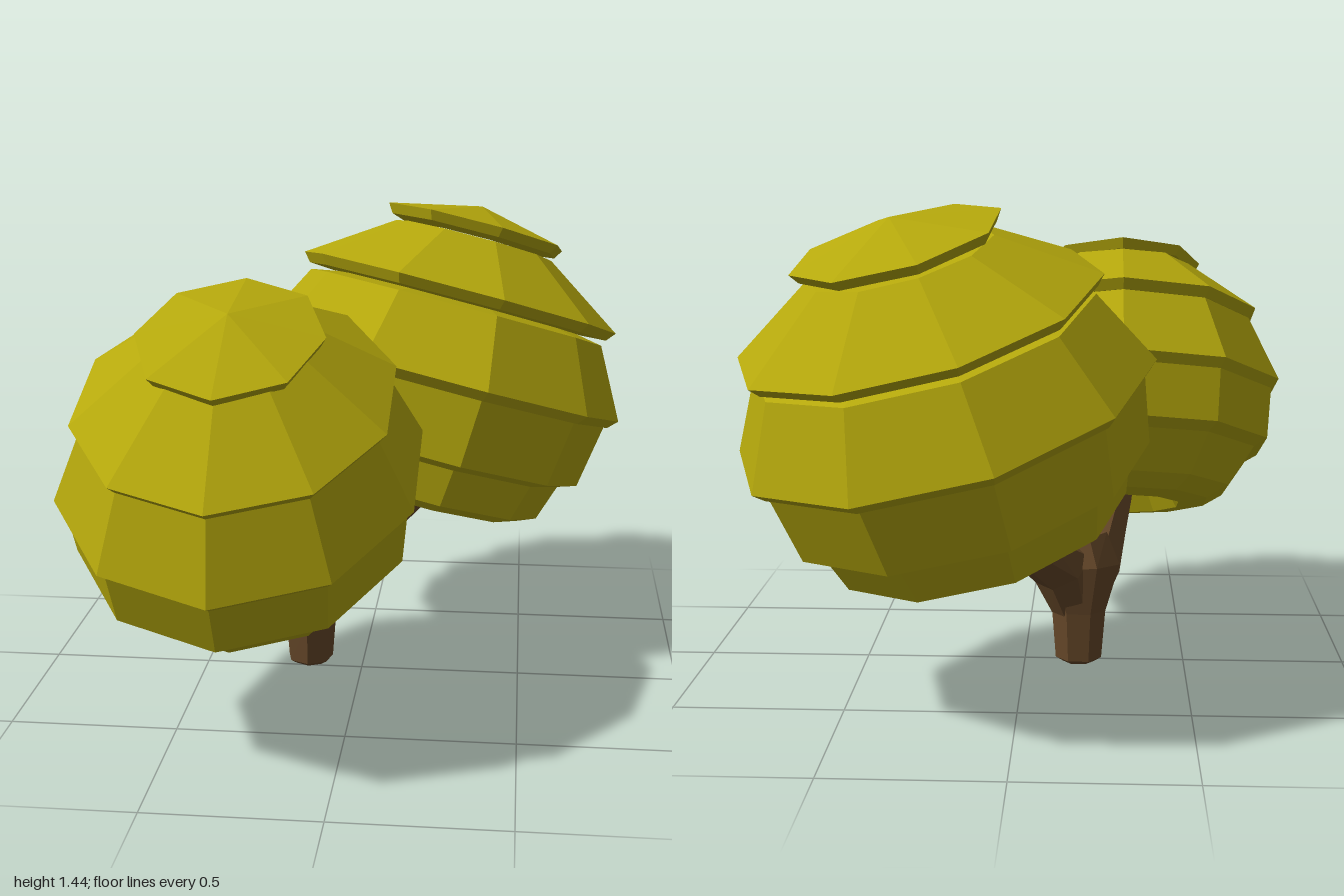
import * as THREE from 'three';

const leafMaterial = new THREE.MeshStandardMaterial({ color: 0xb5a80c, flatShading: true });
const barkMaterial = new THREE.MeshStandardMaterial({ color: 0x664829, flatShading: true });
const UP = new THREE.Vector3(0, 1, 0);

// Overlapping foliage tiers: [radius, height above the tier's lip], from the bottom up
const tiers = [
  { name: 'lowerTier', sides: 10, profile: [[0.5, -0.03], [0.585, -0.03], [0.615, 0], [0.495, 0.225], [0.3, 0.26]] },
  { name: 'upperTier', sides: 10, profile: [[0.42, -0.035], [0.505, -0.03], [0.53, 0], [0.265, 0.175], [0, 0.18]] },
  { name: 'topCap', sides: 8, profile: [[0.2, -0.04], [0.285, -0.03], [0.305, 0], [0, 0.07]] },
];

function createTier(name, profile, lip, sides, phase) {
  const points = profile.map(([r, h]) => new THREE.Vector2(r, h + lip));
  const mesh = new THREE.Mesh(new THREE.LatheGeometry(points, sides, phase), leafMaterial);
  mesh.name = name;
  return mesh;
}

function createCanopy({ name, position, axis, scaleX, phase, lips, base }) {
  const canopy = new THREE.Group();
  canopy.name = name;
  canopy.add(createTier('foliageBase', base, 0, 10, phase));
  tiers.forEach((tier, i) => canopy.add(createTier(tier.name, tier.profile, lips[i], tier.sides, phase)));
  canopy.position.set(...position);
  canopy.quaternion.setFromUnitVectors(UP, new THREE.Vector3(...axis).normalize());
  canopy.scale.x = scaleX;
  return canopy;
}

// Tapered limb through stations [x, y, z, radius]
function createLimb(name, stations, sides = 7) {
  const centers = stations.map(([x, y, z]) => new THREE.Vector3(x, y, z));
  const positions = [];
  const index = [];
  stations.forEach(([, , , radius], i) => {
    const before = centers[Math.max(i - 1, 0)];
    const after = centers[Math.min(i + 1, centers.length - 1)];
    const tangent = after.clone().sub(before).normalize();
    const turn = new THREE.Quaternion().setFromUnitVectors(UP, tangent);
    for (let j = 0; j < sides; j++) {
      const angle = (j / sides) * Math.PI * 2;
      const p = new THREE.Vector3(Math.sin(angle) * radius, 0, Math.cos(angle) * radius);
      positions.push(...p.applyQuaternion(turn).add(centers[i]).toArray());
      if (i === 0) continue;
      const a = (i - 1) * sides + j;
      const b = (i - 1) * sides + ((j + 1) % sides);
      index.push(a, b, b + sides, a, b + sides, a + sides);
    }
  });
  const geometry = new THREE.BufferGeometry();
  geometry.setAttribute('position', new THREE.Float32BufferAttribute(positions, 3));
  geometry.setIndex(index);
  geometry.computeVertexNormals();
  const mesh = new THREE.Mesh(geometry, barkMaterial);
  mesh.name = name;
  return mesh;
}

export function createModel() {
  const tree = new THREE.Group();
  tree.name = 'tree';

  // Trunk with a wide fork
  tree.add(createLimb('trunk', [
    [-0.17, 0, -0.03, 0], [-0.17, 0.005, -0.03, 0.05], [-0.17, 0.02, -0.03, 0.073],
    [-0.17, 0.17, -0.03, 0.085], [-0.17, 0.31, -0.01, 0.13], [-0.16, 0.4, 0, 0.1], [-0.15, 0.425, 0, 0],
  ]));
  tree.add(createLimb('frontBranch', [
    [-0.17, 0.17, -0.02, 0.07], [-0.19, 0.29, 0.04, 0.11], [-0.23, 0.385, 0.16, 0.09],
    [-0.27, 0.46, 0.3, 0.07], [-0.3, 0.56, 0.42, 0.055], [-0.3, 0.62, 0.45, 0],
  ]));
  tree.add(createLimb('backBranch', [
    [-0.16, 0.17, -0.03, 0.07], [-0.12, 0.32, -0.06, 0.1], [-0.02, 0.41, -0.16, 0.075],
    [0.06, 0.43, -0.28, 0.06], [0.11, 0.455, -0.37, 0.06], [0.13, 0.55, -0.41, 0.05], [0.14, 0.64, -0.41, 0],
  ]));

  // Two canopies leaning away from each other, hollow around the branch tips
  tree.add(createCanopy({
    name: 'frontCanopy', position: [-0.3, -0.04, 0.108], axis: [0, 0.937, 0.35], scaleX: 0.86, phase: 0,
    lips: [0.895, 1.135, 1.33],
    base: [[0, 0.6], [0.18, 0.58], [0.23, 0.51], [0.34, 0.52], [0.42, 0.56], [0.52, 0.68], [0.57, 0.705], [0.59, 0.9], [0.4, 1]],
  }));
  tree.add(createCanopy({
    name: 'backCanopy', position: [0.008, 0.073, -0.24], axis: [0.238, 0.951, -0.21], scaleX: 1, phase: 0.28,
    lips: [0.85, 1.125, 1.345],
    base: [[0, 0.56], [0.25, 0.53], [0.31, 0.45], [0.38, 0.445], [0.44, 0.47], [0.48, 0.59], [0.54, 0.61], [0.58, 0.86], [0.4, 1]],
  }));
  return tree;
}
